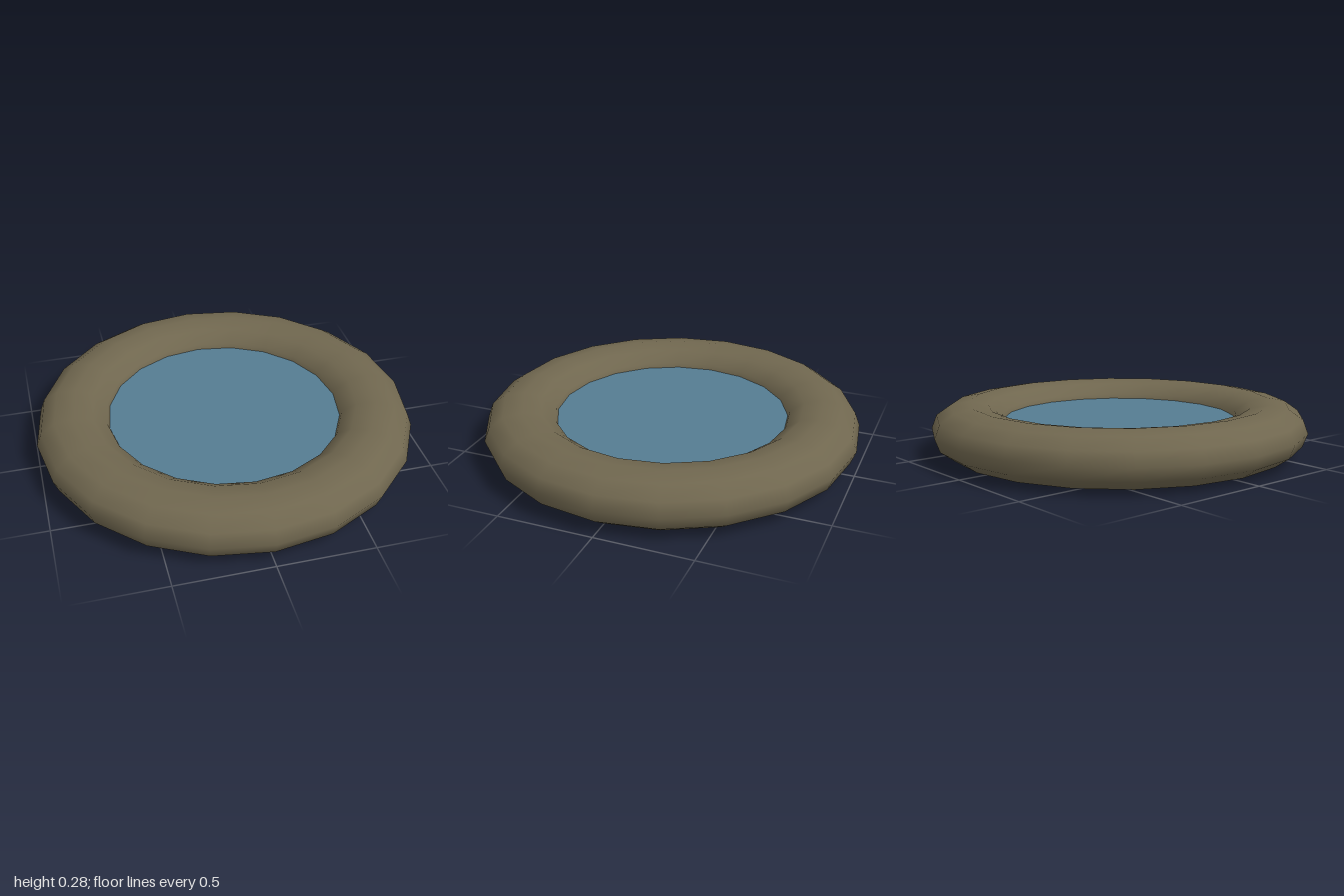
import * as THREE from 'three';

const SIDES = 20;

export function createModel() {
  const group = new THREE.Group();
  const stone = new THREE.MeshStandardMaterial({ color: 0x70674f });
  stone.name = 'stone brown';
  const blue = new THREE.MeshStandardMaterial({ color: 0x557c92 });
  blue.name = 'water blue';

  const add = (name, geometry, material, y) => {
    const mesh = new THREE.Mesh(geometry, material);
    mesh.name = name;
    mesh.position.y = y;
    group.add(mesh);
  };

  // Rounded rim: a ring squashed to an oval section
  const ring = new THREE.TorusGeometry(0.8, 0.2, 12, SIDES);
  ring.rotateX(-Math.PI / 2);
  ring.scale(1, 0.7, 1);
  add('rim', ring, stone, 0.14);

  // Basin floor, closing the ring from below
  add('basinFloor', new THREE.CylinderGeometry(0.66, 0.66, 0.08, SIDES), stone, 0.07);

  // Water surface, its edge tucked into the rim
  const water = new THREE.CircleGeometry(0.66, SIDES);
  water.rotateX(-Math.PI / 2);
  add('water', water, blue, 0.185);

  return group;
}
